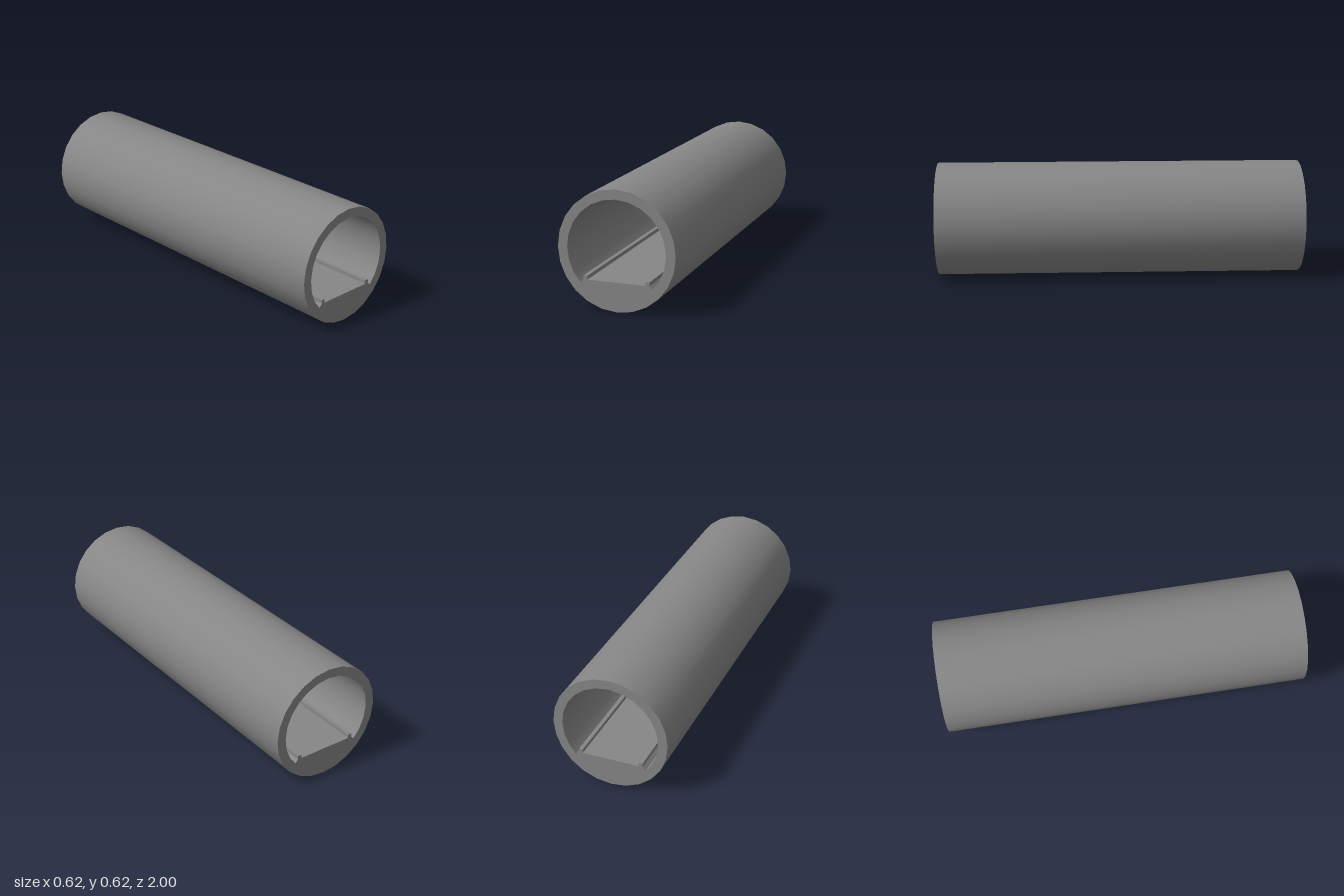
import * as THREE from 'three';
import { toCreasedNormals } from 'three/addons/utils/BufferGeometryUtils.js';

const OUTER = 0.3105, INNER = 0.2605, LENGTH = 2, SIDES = 24;

// Point on a circle around the tunnel axis
function ringPoint(radius, step) {
  const a = (step / SIDES) * Math.PI * 2;
  return new THREE.Vector2(radius * Math.cos(a), OUTER + radius * Math.sin(a));
}

export function createModel() {
  const group = new THREE.Group();
  group.name = 'tunnelSegment';

  // Outer wall of the tube
  const outline = [];
  for (let i = 0; i < SIDES; i++) outline.push(ringPoint(OUTER, i));
  const section = new THREE.Shape(outline);

  // Bore: vault from gutter to gutter, closed by the floor with two kerbs
  const bore = [];
  for (let i = -2; i <= SIDES / 2 + 2; i++) bore.push(ringPoint(INNER, i));
  const halfFloor = [
    [0.191, 0.136], // gutter bottom
    [0.175, 0.153], // gutter edge
    [0.175, 0.173], // kerb top
    [0.154, 0.173],
    [0.154, 0.153], // floor
  ];
  for (const [x, y] of halfFloor) bore.push(new THREE.Vector2(-x, y));
  for (const [x, y] of [...halfFloor].reverse()) bore.push(new THREE.Vector2(x, y));
  section.holes.push(new THREE.Path(bore));

  // Extrude along z, smooth walls with sharp rims, kerbs and gutters
  const geometry = new THREE.ExtrudeGeometry(section, { depth: LENGTH, bevelEnabled: false });
  geometry.translate(0, 0, -LENGTH / 2);
  const tube = new THREE.Mesh(
    toCreasedNormals(geometry, 0.5),
    new THREE.MeshStandardMaterial({ color: 0x868686 })
  );
  tube.name = 'tubeWithFloorAndKerbs';
  group.add(tube);
  return group;
}
